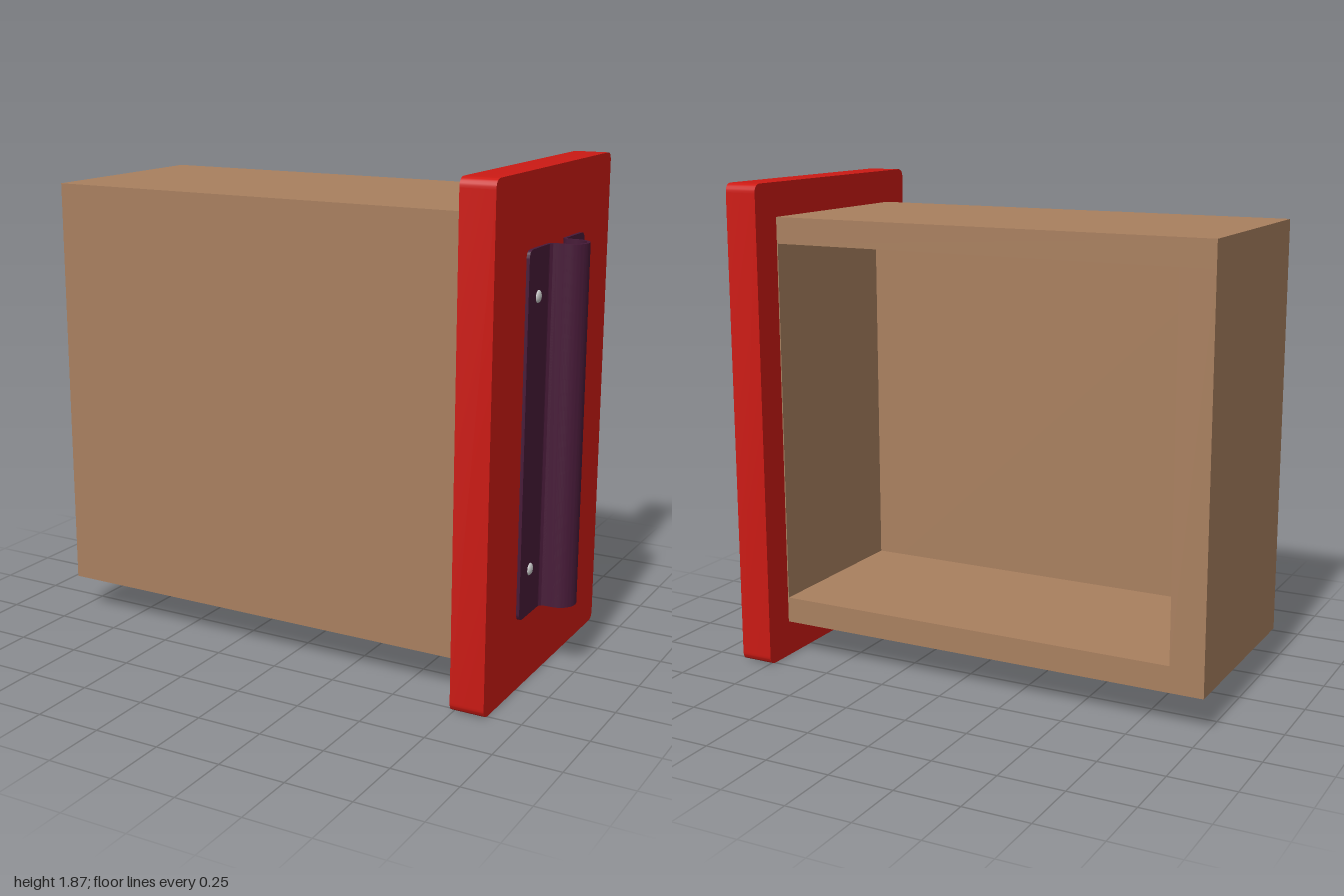
import * as THREE from 'three';
import { toCreasedNormals } from 'three/addons/utils/BufferGeometryUtils.js';

const wood = new THREE.MeshStandardMaterial({ color: 0xa9805f });
const red = new THREE.MeshStandardMaterial({ color: 0xcc1a14 });
const purple = new THREE.MeshStandardMaterial({ color: 0x471a38 });
const grey = new THREE.MeshStandardMaterial({ color: 0xcccccc });

function add(parent, name, geometry, material) {
  const mesh = new THREE.Mesh(geometry, material);
  mesh.name = name;
  parent.add(mesh);
  return mesh;
}

// Box given by its lower and upper limits
function board(parent, name, [x0, y0, z0], [x1, y1, z1]) {
  const g = new THREE.BoxGeometry(x1 - x0, y1 - y0, z1 - z0);
  g.translate((x0 + x1) / 2, (y0 + y1) / 2, (z0 + z1) / 2);
  return add(parent, name, g, wood);
}

// Upright plate facing +x, from corners [z, y, radius]
function plate(corners, x, thickness) {
  const shape = new THREE.Shape();
  const pts = corners.map(([z, y]) => new THREE.Vector2(-z, y));
  const n = pts.length;
  pts.forEach((p, i) => {
    const r = corners[i][2];
    const toward = (q) => q.clone().sub(p).setLength(r).add(p);
    const a = r ? toward(pts[(i + n - 1) % n]) : p;
    if (i === 0) shape.moveTo(a.x, a.y);
    else shape.lineTo(a.x, a.y);
    if (r) {
      const b = toward(pts[(i + 1) % n]);
      shape.quadraticCurveTo(p.x, p.y, b.x, b.y);
    }
  });
  shape.closePath();
  const g = new THREE.ExtrudeGeometry(shape, { depth: thickness, bevelEnabled: false, curveSegments: 8 });
  g.rotateY(Math.PI / 2).translate(x, 0, 0);
  return toCreasedNormals(g, 0.6);
}

// Bent sheet of the handle: a rounded loop with flared feet
function loopGeometry(height) {
  const PI = Math.PI, x0 = 0.87, t = 0.012, R = 0.067, f = 0.018;
  const cx = x0 + t + f, cz = R + f, nose = 0.996 - R;
  const s = new THREE.Shape();
  s.moveTo(x0 + t, cz);
  s.absarc(cx, cz, f, PI, 1.5 * PI, false);
  s.absarc(nose, 0, R, PI / 2, -PI / 2, true);
  s.absarc(cx, -cz, f, PI / 2, PI, false);
  s.absarc(cx, -cz, f + t, PI, PI / 2, true);
  s.absarc(nose, 0, R - t, -PI / 2, PI / 2, false);
  s.absarc(cx, cz, f + t, 1.5 * PI, PI, true);
  s.closePath();
  const g = new THREE.ExtrudeGeometry(s, { depth: height, bevelEnabled: false, curveSegments: 20 });
  g.rotateX(-PI / 2);
  return toCreasedNormals(g, 0.6);
}

export function createModel() {
  const model = new THREE.Group();
  model.name = 'drawer';

  // Wooden box, open at the back
  const box = new THREE.Group();
  box.name = 'box';
  model.add(box);
  board(box, 'frontWall', [-1, 0.14, 0.3], [0.74, 1.74, 0.4]);
  board(box, 'topWall', [-1, 1.64, -0.4], [0.74, 1.74, 0.3]);
  board(box, 'bottomWall', [-1, 0.14, -0.4], [0.74, 0.24, 0.3]);
  board(box, 'endWall', [-1, 0.24, -0.4], [-0.87, 1.64, 0.3]);
  board(box, 'innerLining', [0.736, 0.24, -0.4], [0.74, 1.64, 0.3]);

  // Red face board with rounded corners
  const face = [[0.53, 0, 0.035], [-0.53, 0, 0.035], [-0.53, 1.87, 0.035], [0.53, 1.87, 0.035]];
  add(model, 'faceBoard', plate(face, 0.74, 0.13), red);

  // Handle: central loop, two flanges and four screws
  const handle = new THREE.Group();
  handle.name = 'handle';
  handle.position.z = 0.007;
  model.add(handle);
  const y0 = 0.27, y1 = 1.605;
  add(handle, 'loop', loopGeometry(y1 - y0), purple).position.y = y0;
  for (const s of [1, -1]) {
    const flange = [[s * 0.085, y0, 0], [s * 0.257, y0, 0.03], [s * 0.257, y1, 0.03], [s * 0.085, y1, 0]];
    add(handle, 'flange', plate(flange, 0.87, 0.012), purple);
    for (const y of [0.443, 1.435]) {
      const dome = new THREE.SphereGeometry(0.023, 20, 8, 0, 2 * Math.PI, 0, Math.PI / 2);
      dome.scale(1, 0.45, 1).rotateZ(-Math.PI / 2);
      add(handle, 'screw', dome, grey).position.set(0.881, y, s * 0.171);
    }
  }
  return model;
}
